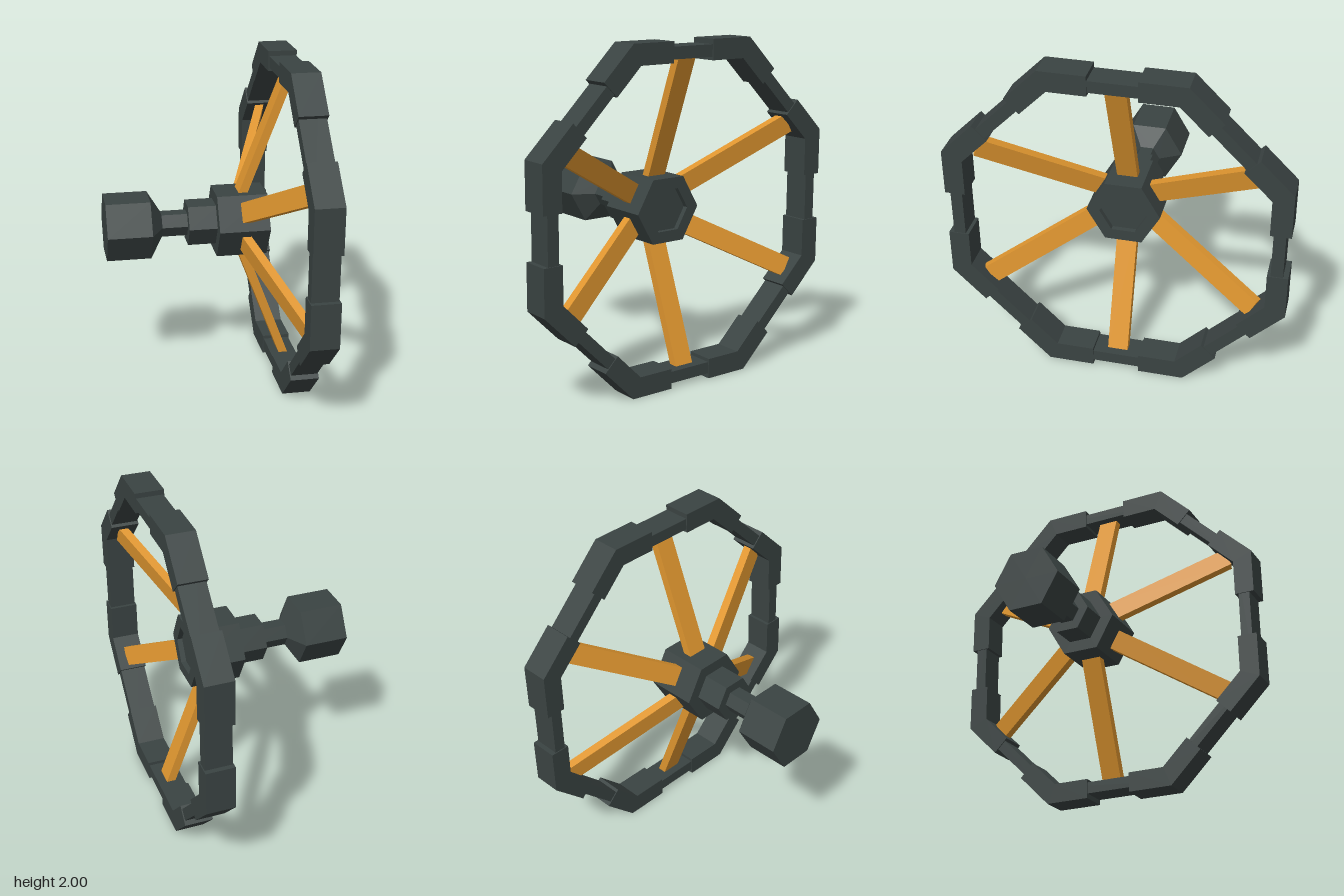
import * as THREE from 'three';

export function createModel() {
  const model = new THREE.Group();
  const iron = new THREE.MeshStandardMaterial({ color: 0x3a4342 });
  iron.name = 'dark iron';
  const wood = new THREE.MeshStandardMaterial({ color: 0xde952f });
  wood.name = 'orange wood';

  const add = (parent, name, geometry, material) => {
    const mesh = new THREE.Mesh(geometry, material);
    mesh.name = name;
    parent.add(mesh);
    return mesh;
  };

  // Faceted six-sided solid around the x axis, from [radius, x] points
  const hexTurned = (profile) => {
    const lathe = new THREE.LatheGeometry(profile.map(([r, x]) => new THREE.Vector2(r, x)), 6);
    const g = lathe.toNonIndexed();
    g.rotateZ(-Math.PI / 2);
    g.computeVertexNormals();
    return g;
  };

  // Plate cut in the wheel plane, with its thickness centred on the rim
  const plate = (shape, depth) =>
    new THREE.ExtrudeGeometry(shape, { depth, bevelEnabled: false })
      .translate(0, 0, -depth / 2)
      .rotateY(Math.PI / 2);

  const wheel = new THREE.Group();
  wheel.name = 'wheel';
  wheel.position.y = 1;
  model.add(wheel);

  // Axle: hub with a recessed end, collar, shaft and tapered end cap
  add(wheel, 'hub', hexTurned([[0, 0.065], [0.22, 0.065], [0.22, 0.372], [0.142, 0.372], [0.142, 0.34], [0, 0.34]]), iron);
  add(wheel, 'collar', hexTurned([[0, -0.105], [0.14, -0.105], [0.14, 0.08], [0, 0.08]]), iron);
  add(wheel, 'shaft', hexTurned([[0, -0.28], [0.079, -0.28], [0.079, -0.09], [0, -0.09]]), iron);
  add(wheel, 'endCap', hexTurned([[0, -0.6], [0.206, -0.6], [0.206, -0.333], [0.079, -0.26], [0, -0.26]]), iron);

  // Thin eight-sided rim
  const rimX = 0.505;
  const octagon = (apothem) => Array.from({ length: 8 }, (_, i) => {
    const a = (i + 0.5) * Math.PI / 4, r = apothem / Math.cos(Math.PI / 8);
    return new THREE.Vector2(r * Math.cos(a), r * Math.sin(a));
  });
  const rimShape = new THREE.Shape(octagon(0.97));
  rimShape.holes.push(new THREE.Path(octagon(0.9)));
  add(wheel, 'rim', plate(rimShape, 0.16), iron).position.x = rimX;

  // Thick bent brackets over the eight corners
  const t = Math.tan(Math.PI / 8), s = Math.SQRT1_2;
  const outer = 1, inner = 0.88, end = 0.14;
  const onDiagonal = (apothem, along) => [s * (apothem + along), s * (apothem - along)];
  const bracketShape = new THREE.Shape([
    [end, inner], [inner * t, inner], onDiagonal(inner, -end),
    onDiagonal(outer, -end), [outer * t, outer], [end, outer],
  ].map(([x, y]) => new THREE.Vector2(x, y)));
  const bracketGeometry = plate(bracketShape, 0.172);
  for (let i = 0; i < 8; i++) {
    const bracket = add(wheel, 'cornerBracket', bracketGeometry, iron);
    bracket.position.x = rimX;
    bracket.rotation.x = i * Math.PI / 4;
  }

  // Six spokes slanting from the hub to the rim; one pair sits slightly askew
  const spokeAngles = [[90, 90], [150, 149.5], [213, 208.5], [270, 270], [330, 329.5], [33, 28.5]];
  const point = (deg, r, x) => {
    const a = THREE.MathUtils.degToRad(deg);
    return new THREE.Vector3(x, r * Math.sin(a), r * Math.cos(a));
  };
  for (const [from, to] of spokeAngles) {
    const a = point(from, 0.13, 0.21), b = point(to, 0.92, 0.512);
    const along = b.clone().sub(a);
    const length = along.length();
    along.normalize();
    const across = new THREE.Vector3(1, 0, 0).cross(along).normalize();
    const face = along.clone().cross(across);
    const spoke = add(wheel, 'spoke', new THREE.BoxGeometry(0.052, length, 0.122), wood);
    spoke.quaternion.setFromRotationMatrix(new THREE.Matrix4().makeBasis(face, along, across));
    spoke.position.copy(a).add(b).multiplyScalar(0.5);
  }

  return model;
}
